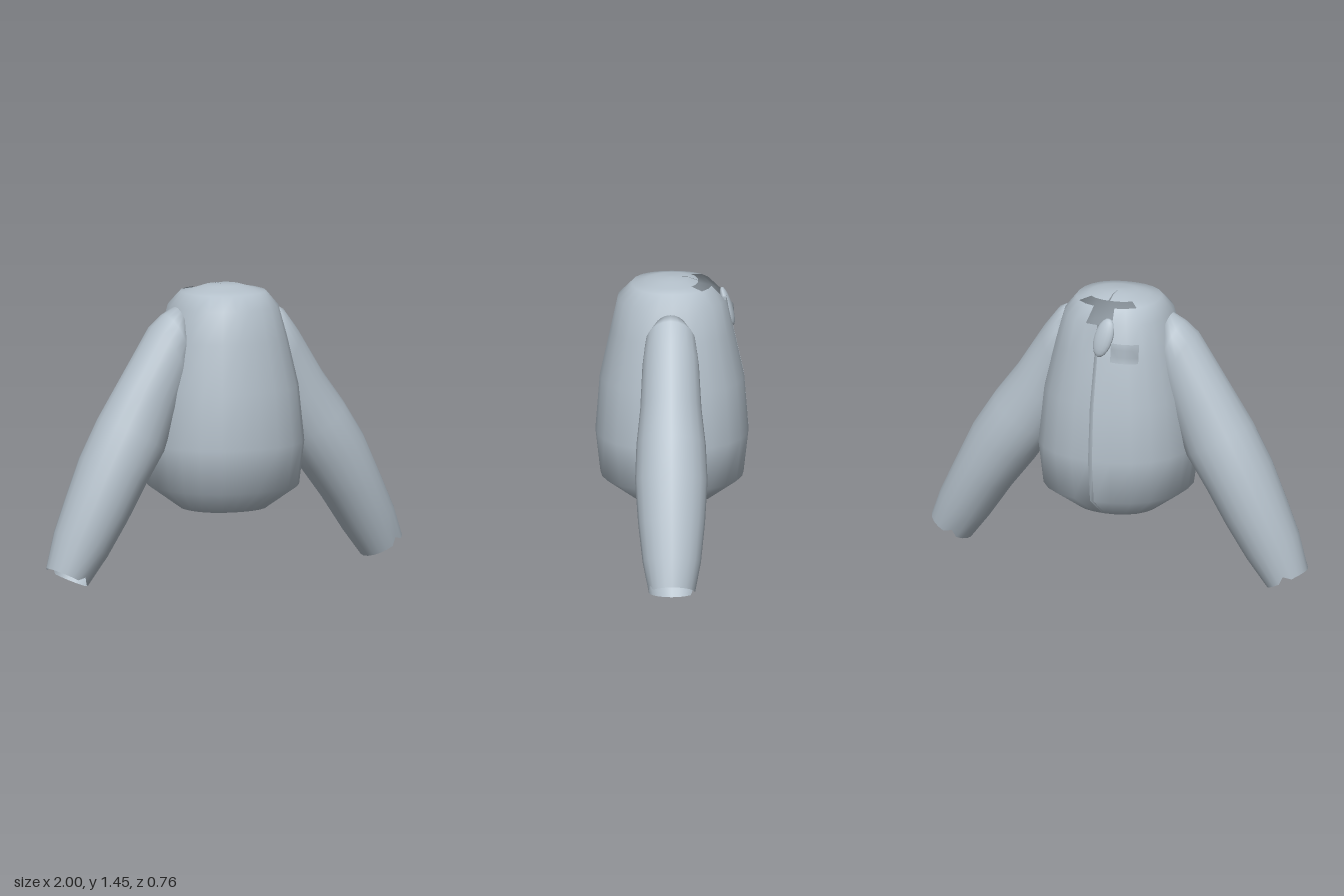
import * as THREE from 'three';

const fabric = new THREE.MeshStandardMaterial({ color: 0xb4c0ca, side: THREE.DoubleSide });
fabric.name = 'pale blue grey fabric';

// Smooth skin over rows of points; skip(row, col) leaves an opening
function loft(name, rows, closed, skip = () => false) {
  const n = rows[0].length, index = [];
  for (let r = 0; r < rows.length - 1; r++) {
    for (let c = 0; c < (closed ? n : n - 1); c++) {
      if (skip(r, c)) continue;
      const d = (c + 1) % n;
      const a = r * n + c, b = r * n + d, up = a + n, upB = b + n;
      index.push(a, up, b, b, up, upB);
    }
  }
  const g = new THREE.BufferGeometry();
  g.setAttribute('position', new THREE.Float32BufferAttribute(rows.flat(2), 3));
  g.setIndex(index);
  g.computeVertexNormals();
  const mesh = new THREE.Mesh(g, fabric);
  mesh.name = name;
  return mesh;
}

// Torso rings: height, half width, half depth
const torsoRings = [
  [0.33, 0, 0], [0.345, 0.21, 0.2], [0.46, 0.37, 0.355], [0.68, 0.395, 0.38],
  [0.96, 0.365, 0.358], [1.2, 0.31, 0.305], [1.36, 0.265, 0.27],
  [1.43, 0.21, 0.2], [1.442, 0.15, 0.13], [1.46, 0.09, 0.08], [1.463, 0, 0],
];

// Point on a slightly squared oval, angle measured from the back towards the left
function ovalPoint([y, rx, rz], deg) {
  const t = THREE.MathUtils.degToRad(deg);
  const s = Math.sin(t), c = Math.cos(t);
  const k = Math.pow(Math.abs(s) ** 2.25 + Math.abs(c) ** 2.25, -1 / 2.25);
  return [rx * s * k, y, -rz * c * k];
}

function makeTorso() {
  const angles = [1.5];
  for (let a = 15; a < 360; a += 15) angles.push(a);
  angles.push(358.5);
  const rows = torsoRings.map((ring) => angles.map((a) => ovalPoint(ring, a)));
  // neck opening behind the collar narrows towards the back seam
  const skip = (r, c) => {
    const fromBack = Math.min(c, angles.length - 2 - c);
    return (r === 7 && fromBack < 3) || (r === 6 && fromBack < 1);
  };
  return loft('torso', rows, false, skip);
}

// Folded strip sunk into the slit down the back
function makeBackSeam() {
  const rows = torsoRings.slice(0, 7).map((ring, i) => {
    const p = ovalPoint(ring, 0);
    p[2] += i > 1 ? 0.05 : 0;
    return [ovalPoint(ring, 358.5), p, ovalPoint(ring, 1.5)];
  });
  return loft('backSeam', rows, false);
}

// Sleeve sections: upper edge x, y, lower edge x, y, half depth
const leftSections = [
  [0.25, 1.27, 0.25, 1.27, 0], [0.28, 1.345, 0.24, 1.19, 0.08],
  [0.32, 1.325, 0.24, 1.08, 0.125], [0.4, 1.22, 0.25, 0.98, 0.14],
  [0.54, 1.0, 0.29, 0.8, 0.152], [0.66, 0.84, 0.36, 0.645, 0.172],
  [0.77, 0.67, 0.46, 0.5, 0.18], [0.87, 0.46, 0.58, 0.345, 0.166],
  [0.95, 0.29, 0.7, 0.17, 0.145], [1.0, 0.15, 0.8, 0.04, 0.115],
];
const rightSections = [
  [0.25, 1.29, 0.25, 1.29, 0], [0.28, 1.37, 0.24, 1.2, 0.08],
  [0.34, 1.335, 0.24, 1.09, 0.125], [0.41, 1.28, 0.25, 0.98, 0.14],
  [0.59, 1.01, 0.31, 0.81, 0.152], [0.7, 0.84, 0.37, 0.65, 0.172],
  [0.8, 0.65, 0.48, 0.49, 0.18], [0.88, 0.46, 0.58, 0.32, 0.166],
  [0.95, 0.29, 0.69, 0.15, 0.145], [1.0, 0.11, 0.8, 0.01, 0.115],
];

function makeSleeve(name, side, sections) {
  const sides = 20;
  const rows = sections.map(([ox, oy, ix, iy, depth], r) =>
    Array.from({ length: sides }, (_, i) => {
      const t = (i / sides) * Math.PI * 2, k = Math.cos(t) / 2;
      // small tucks in the hem at front and back
      const tuck = r === sections.length - 1 && i % 10 === 6 ? 0.025 : 0;
      return [
        side * ((ox + ix) / 2 + (ox - ix) * k - tuck * 0.5),
        (oy + iy) / 2 + (oy - iy) * k + tuck,
        0.01 - side * depth * Math.sin(t),
      ];
    }));
  return loft(name, rows, true);
}

// Turned-out fold beside the neck opening
function makeFold() {
  const fold = new THREE.Mesh(new THREE.SphereGeometry(1, 16, 10), fabric);
  fold.name = 'neckFold';
  fold.scale.set(0.05, 0.1, 0.025);
  fold.position.set(-0.03, 1.3, -0.275);
  fold.rotation.set(0.3, 0, 0.2);
  return fold;
}

// Small fastening tab: a curved strip standing off the back
function makeTab() {
  const rows = [-0.05, -0.02, 0.02, 0.05].map((y) =>
    [-0.07, -0.035, 0, 0.035, 0.07].map((x) =>
      [-x, y, 0.025 * (x / 0.07) ** 2 - (y > 0 ? 0.012 : 0)]));
  const tab = loft('fasteningTab', rows, false);
  tab.position.set(-0.15, 1.235, -0.295);
  tab.rotation.set(0.15, 0.35, 0);
  return tab;
}

export function createModel() {
  const model = new THREE.Group();
  model.name = 'puffyJacket';
  model.add(
    makeTorso(), makeBackSeam(),
    makeSleeve('leftSleeve', 1, leftSections),
    makeSleeve('rightSleeve', -1, rightSections),
    makeFold(), makeTab(),
  );
  return model;
}
